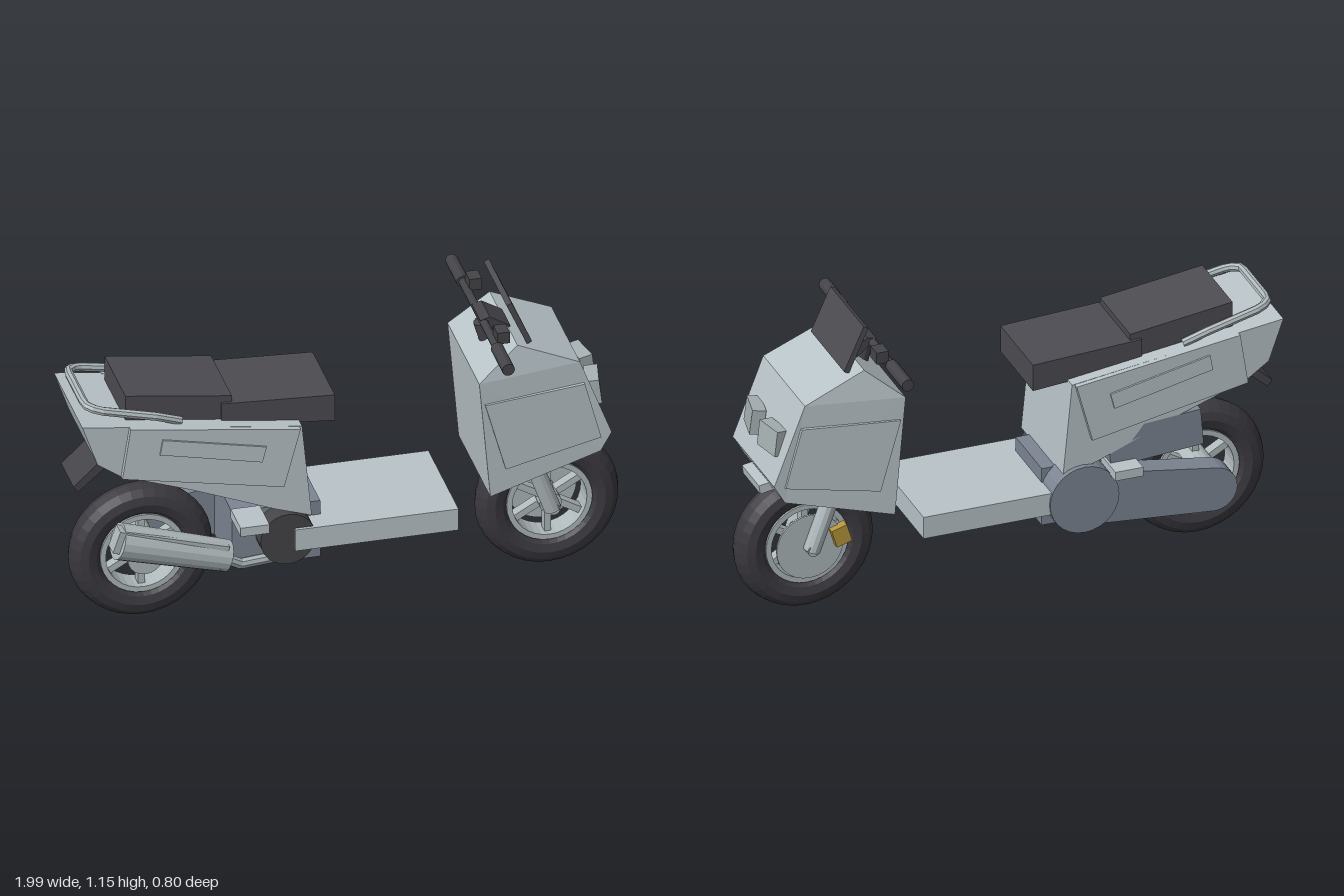
import * as THREE from 'three';

const mat = (name, color) => Object.assign(new THREE.MeshStandardMaterial({ color }), { name });

export function createModel() {
  const body = mat('body panel', 0xb9c4c9);
  const metal = mat('bright metal', 0xb0babd);
  const lens = mat('headlight glass', 0xa6b0b2);
  const slate = mat('engine slate', 0x7d8694);
  const seatMat = mat('seat vinyl', 0x4d4c52);
  const plastic = mat('dark plastic', 0x454449);
  const rubber = mat('tyre rubber', 0x3b393f);
  const gold = mat('gold', 0xb4963c);

  const model = new THREE.Group();
  model.name = 'scooter';
  const V = (p) => new THREE.Vector3(...p);

  // Faceted mesh added to a parent
  const add = (name, geo, material, parent = model) => {
    const g = geo.index ? geo.toNonIndexed() : geo;
    g.computeVertexNormals();
    const m = new THREE.Mesh(g, material);
    m.name = name;
    parent.add(m);
    return m;
  };
  const box = (name, size, pos, material, rot = [0, 0, 0], parent = model) => {
    const m = add(name, new THREE.BoxGeometry(...size), material, parent);
    m.position.set(...pos);
    m.rotation.set(...rot);
    return m;
  };
  // Cylinder running from a to b
  const rod = (name, a, b, ra, rb, material, sides = 12, parent = model) => {
    const d = V(b).sub(V(a));
    const m = add(name, new THREE.CylinderGeometry(rb, ra, d.length(), sides), material, parent);
    m.position.copy(V(a)).addScaledVector(d, 0.5);
    m.quaternion.setFromUnitVectors(new THREE.Vector3(0, 1, 0), d.normalize());
    return m;
  };
  const tube = (name, pts, r, material) => {
    const path = new THREE.CurvePath();
    for (let i = 1; i < pts.length; i++) path.add(new THREE.LineCurve3(V(pts[i - 1]), V(pts[i])));
    return add(name, new THREE.TubeGeometry(path, 30, r, 8), material);
  };
  // Prism from a side outline [x, y], with a near and far z for each corner
  const prism = (name, outline, back, front, material) => {
    const o = outline.map(([x, y]) => new THREE.Vector2(x, y));
    if (THREE.ShapeUtils.isClockWise(o)) o.reverse();
    const n = o.length, pos = [], idx = [];
    for (const z of [back, front]) o.forEach((p) => pos.push(p.x, p.y, z(p.x, p.y)));
    for (const [a, b, c] of THREE.ShapeUtils.triangulateShape(o, [])) idx.push(a + n, b + n, c + n, a, c, b);
    for (let i = 0; i < n; i++) {
      const j = (i + 1) % n;
      idx.push(i, j, j + n, i, j + n, i + n);
    }
    const g = new THREE.BufferGeometry();
    g.setAttribute('position', new THREE.Float32BufferAttribute(pos, 3));
    g.setIndex(idx);
    return add(name, g, material);
  };
  const block = (name, outline, w, material) => prism(name, outline, () => -w, () => w, material);
  const sidePanels = (name, outline, inner, outer, material) => {
    prism(name + 'Left', outline, inner, outer, material);
    prism(name + 'Right', outline, (x, y) => -outer(x, y), (x, y) => -inner(x, y), material);
  };

  // Wheels with tyre, rim, hub and spokes
  const wheel = (name, x) => {
    const w = new THREE.Group();
    w.name = name;
    w.position.set(x, 0.262, 0);
    model.add(w);
    add('tyre', new THREE.TorusGeometry(0.2, 0.06, 12, 36), rubber, w);
    const rim = [[0.135, -0.045], [0.155, -0.045], [0.155, 0.045], [0.135, 0.045], [0.135, -0.045]];
    add('rim', new THREE.LatheGeometry(rim.map((p) => new THREE.Vector2(...p)), 32), metal, w).rotation.x = Math.PI / 2;
    rod('hub', [0, 0, -0.06], [0, 0, 0.06], 0.04, 0.04, metal, 16, w);
    for (let i = 0; i < 6; i++) {
      const a = (i + 0.5) * Math.PI / 3;
      box('spoke', [0.12, 0.025, 0.04], [0.085 * Math.cos(a), 0.085 * Math.sin(a), 0], metal, [0, 0, a], w);
    }
  };
  wheel('frontWheel', 0.735);
  wheel('rearWheel', -0.735);
  rod('brakeDisc', [0.735, 0.262, -0.071], [0.735, 0.262, -0.063], 0.125, 0.125, metal, 28);
  box('brakeCaliper', [0.06, 0.07, 0.035], [0.625, 0.295, -0.08], gold, [0, 0, -0.3]);
  rod('rearHubDrum', [-0.735, 0.262, -0.14], [-0.735, 0.262, 0.08], 0.065, 0.065, metal, 20);

  // Front fork
  rod('frontAxle', [0.735, 0.262, -0.11], [0.735, 0.262, 0.11], 0.022, 0.022, metal);
  for (const s of [1, -1]) {
    rod('forkLeg', [0.735, 0.255, s * 0.087], [0.635, 0.53, s * 0.087], 0.031, 0.031, metal);
  }
  rod('steeringColumn', [0.64, 0.52, 0], [0.5, 1.0, 0], 0.03, 0.03, plastic);

  // Front shell, widening towards the rear
  const shellWidth = (x, y) => (y > 0.95 ? 0.195 : x > 0.7 ? 0.2 : 0.223);
  prism('frontShell', [[0.435, 0.875], [0.475, 0.415], [0.88, 0.53], [0.92, 0.6], [0.805, 0.9], [0.58, 0.997]],
    (x, y) => -shellWidth(x, y), shellWidth, body);
  sidePanels('frontSidePanel', [[0.455, 0.79], [0.53, 0.52], [0.88, 0.59], [0.82, 0.815]],
    () => 0.18, (x) => 0.231 - 0.05 * (x - 0.455), body);
  for (const s of [1, -1]) {
    box('headlight', [0.05, 0.095, 0.115], [0.88, 0.735, s * 0.087], lens, [0, s * -0.2, 0.12]);
  }
  box('frontFender', [0.17, 0.034, 0.164], [0.845, 0.545, 0], body, [0, 0, -0.16]);

  // Windscreen and handlebars
  block('windscreen', [[0.55, 1.14], [0.568, 1.15], [0.642, 0.985], [0.624, 0.975]], 0.16, seatMat);
  rod('handlebar', [0.495, 1.023, -0.39], [0.495, 1.023, 0.39], 0.015, 0.015, plastic);
  block('handlebarClamp', [[0.48, 1.035], [0.515, 1.045], [0.59, 1.0], [0.56, 0.97]], 0.06, plastic);
  for (const s of [1, -1]) {
    rod('grip', [0.495, 1.023, s * 0.24], [0.495, 1.023, s * 0.4], 0.023, 0.023, plastic);
    box('switchBlock', [0.045, 0.045, 0.06], [0.522, 1.05, s * 0.195], plastic);
  }

  // Floorboard
  box('floorboard', [0.59, 0.085, 0.424], [0.068, 0.333, 0], body);

  // Rear body with side panels
  block('rearBody', [[-0.995, 0.892], [-0.94, 0.735], [-0.855, 0.675], [-0.6, 0.585], [-0.3, 0.465], [-0.165, 0.42], [-0.2, 0.785]], 0.2, body);
  sidePanels('rearSidePanel', [[-0.825, 0.87], [-0.855, 0.675], [-0.27, 0.56], [-0.21, 0.785]], () => 0.19, () => 0.22, body);
  sidePanels('rearTrimPlate', [[-0.71, 0.815], [-0.72, 0.757], [-0.35, 0.675], [-0.335, 0.735]], () => 0.219, () => 0.227, body);

  // Stepped seat
  block('rearSeat', [[-0.825, 0.965], [-0.825, 0.86], [-0.44, 0.8], [-0.44, 0.912]], 0.145, seatMat);
  block('frontSeat', [[-0.48, 0.89], [-0.48, 0.8], [-0.07, 0.765], [-0.07, 0.868]], 0.156, seatMat);

  // Grab rail
  tube('grabRail', [[-0.63, 0.85, 0.165], [-0.72, 0.885, 0.175], [-0.93, 0.93, 0.16], [-0.965, 0.938, 0.125],
    [-0.965, 0.938, -0.125], [-0.93, 0.93, -0.16], [-0.72, 0.885, -0.175], [-0.63, 0.85, -0.165]], 0.016, metal);

  // Rear mudguard
  block('rearMudguard', [[-0.998, 0.59], [-0.98, 0.568], [-0.845, 0.685], [-0.865, 0.715]], 0.087, plastic);

  // Engine, belt cover, air box and shock absorber
  box('crankcase', [0.32, 0.225, 0.25], [-0.275, 0.318, 0], slate);
  rod('beltDrum', [-0.24, 0.33, -0.22], [-0.24, 0.33, -0.12], 0.13, 0.13, slate, 28);
  rod('beltCoverEnd', [-0.735, 0.265, -0.205], [-0.735, 0.265, -0.12], 0.085, 0.085, slate, 24);
  prism('beltCover', [[-0.74, 0.35], [-0.726, 0.181], [-0.25, 0.22], [-0.25, 0.425]], () => -0.205, () => -0.12, slate);
  box('airBox', [0.35, 0.14, 0.1], [-0.515, 0.51, -0.15], slate, [0, 0, -0.08]);
  rod('engineDrum', [-0.25, 0.335, 0.12], [-0.25, 0.335, 0.2], 0.1, 0.1, plastic, 24);
  rod('shockAbsorber', [-0.64, 0.4, -0.088], [-0.53, 0.62, -0.088], 0.026, 0.026, gold);

  // Passenger footpegs
  for (const s of [1, -1]) {
    box('footpeg', [0.105, 0.035, 0.14], [-0.388, 0.428, s * 0.2], body);
  }

  // Exhaust
  tube('exhaustPipe', [[-0.18, 0.26, 0.1], [-0.25, 0.24, 0.14], [-0.42, 0.25, 0.18], [-0.5, 0.3, 0.2]], 0.02, metal);
  rod('muffler', [-0.47, 0.295, 0.19], [-0.87, 0.425, 0.215], 0.058, 0.067, metal, 16);
  prism('heatShield', [[-0.9, 0.405], [-0.872, 0.485], [-0.47, 0.355], [-0.495, 0.265]],
    (x) => 0.2, (x) => 0.235 - 0.06 * (x + 0.47), metal);

  return model;
}
